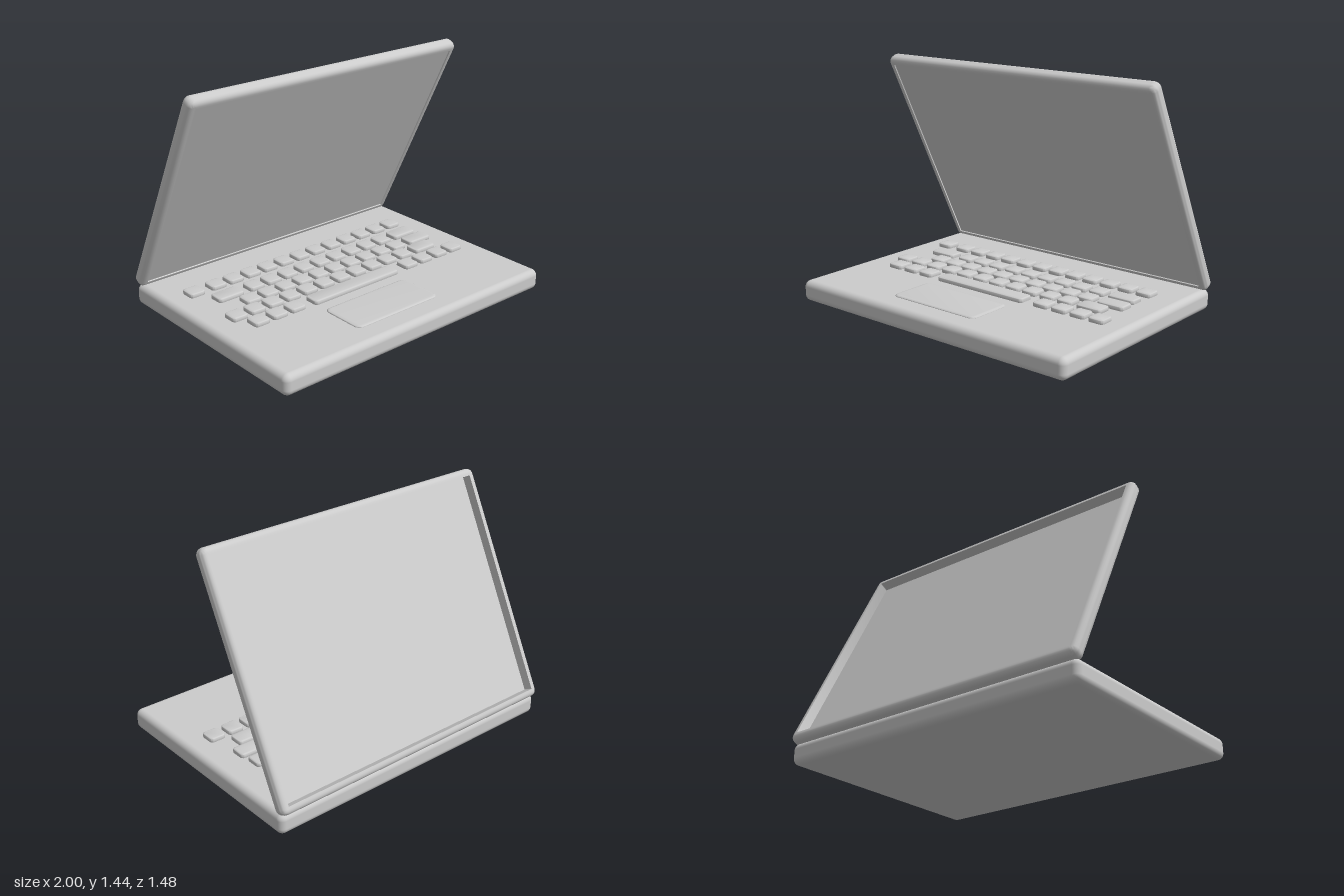
import * as THREE from 'three';
import { RoundedBoxGeometry } from 'three/addons/geometries/RoundedBoxGeometry.js';
import { toCreasedNormals } from 'three/addons/utils/BufferGeometryUtils.js';

const grey = new THREE.MeshStandardMaterial({ color: 0xcccccc });
const KEY = 0.104, PITCH = 0.1294, KEY_TOP = 0.155, DECK = 0.13;
const LID_W = 2, LID_H = 1.465, LID_T = 0.086, RIM = 0.046;

function addMesh(parent, name, geometry, x, y, z) {
  const mesh = new THREE.Mesh(geometry, grey);
  mesh.name = name;
  mesh.position.set(x, y, z);
  parent.add(mesh);
}

// Counter-clockwise outline of a rounded rectangle
function outline(w, h, r, steps = 5) {
  const points = [];
  [[1, 1], [-1, 1], [-1, -1], [1, -1]].forEach(([sx, sy], corner) => {
    for (let i = 0; i <= steps; i++) {
      const a = (corner + i / steps) * Math.PI / 2;
      points.push(new THREE.Vector2(
        sx * (w / 2 - r) + r * Math.cos(a), sy * (h / 2 - r) + r * Math.sin(a)));
    }
  });
  return points;
}

// Flat plate with rounded corners and a bevelled top, standing on y = 0
function plate(w, d, h, corner, bevelWidth, bevelHeight) {
  const shape = new THREE.Shape(outline(w - 2 * bevelWidth, d - 2 * bevelWidth, corner));
  const geo = new THREE.ExtrudeGeometry(shape, {
    depth: h - bevelHeight, bevelSize: bevelWidth, bevelThickness: bevelHeight, bevelSegments: 4,
  });
  geo.rotateX(-Math.PI / 2);
  return toCreasedNormals(geo, 0.7);
}

// Rim of the lid: a rounded section swept around the lid's outline
function rimGeometry() {
  const r = 0.033, section = [[RIM, -LID_T / 2]];
  for (const side of [-1, 1]) {
    for (let i = 0; i <= 5; i++) {
      const a = (side < 0 ? i : 5 - i) / 5 * Math.PI / 2;
      section.push([r - r * Math.sin(a), side * (LID_T / 2 - r + r * Math.cos(a))]);
    }
  }
  section.push([RIM, LID_T / 2], [RIM, -LID_T / 2]);
  const positions = [], index = [];
  const n = outline(1, 1, 0.1).length;
  section.forEach(([inset, z], i) => {
    for (const p of outline(LID_W - 2 * inset, LID_H - 2 * inset, Math.max(0.04 - inset, 0.004))) {
      positions.push(p.x, p.y, z);
    }
    if (i === section.length - 1) return;
    for (let j = 0; j < n; j++) {
      const a = i * n + j, b = i * n + (j + 1) % n;
      index.push(a, b, b + n, a, b + n, a + n);
    }
  });
  const geo = new THREE.BufferGeometry();
  geo.setAttribute('position', new THREE.Float32BufferAttribute(positions, 3));
  geo.setIndex(index);
  return toCreasedNormals(geo, 0.7);
}

export function createModel() {
  const model = new THREE.Group();
  model.name = 'laptop';

  // Base
  addMesh(model, 'base', new RoundedBoxGeometry(2, DECK, 1.46, 5, 0.04), 0, DECK / 2, 0.01);

  // Trackpad with softly sloping edges
  addMesh(model, 'trackpad', plate(0.63, 0.3, 0.009, 0.02, 0.02, 0.008), -0.052, DECK, 0.444);

  // Keyboard: each row has a z, runs of equal keys [first x, count] and wide keys [x, width]
  const rows = [
    { z: -0.376, runs: [[-0.81, 1], [-0.655, 12]], wide: [] },
    { z: -0.217, runs: [[-0.49, 9]], wide: [[-0.68, 0.18], [0.72, 0.18]] },
    { z: -0.088, runs: [[-0.61, 10]], wide: [[0.735, 0.18]] },
    { z: 0.031, runs: [[-0.797, 11]], wide: [[0.668, 0.17]] },
    { z: 0.16, runs: [[-0.737, 3], [0.423, 4]], wide: [] },
  ];
  const keyboard = new THREE.Group();
  keyboard.name = 'keyboard';
  const addKey = (name, x, z, w) =>
    addMesh(keyboard, name, plate(w, KEY, KEY_TOP - DECK, 0.012, 0.01, 0.01), x, DECK, z);
  for (const { z, runs, wide } of rows) {
    for (const [x, count] of runs) {
      for (let i = 0; i < count; i++) addKey('key', x + i * PITCH, z, KEY);
    }
    for (const [x, w] of wide) addKey('wideKey', x, z, w);
  }
  addKey('spaceBar', -0.033, 0.166, 0.66);
  model.add(keyboard);

  // Lid leaning forward over the keyboard: a rim, hollow at the back, holding a thin screen
  const lid = new THREE.Group();
  lid.name = 'lid';
  lid.position.set(0, 0.7815, -0.386);
  lid.rotation.x = 0.464;
  addMesh(lid, 'lidRim', rimGeometry(), 0, 0, 0);
  const screen = new THREE.BoxGeometry(LID_W - 2 * RIM + 0.004, LID_H - 2 * RIM + 0.004, 0.018);
  addMesh(lid, 'screen', screen, 0, 0, LID_T / 2 - 0.017);
  model.add(lid);

  return model;
}
